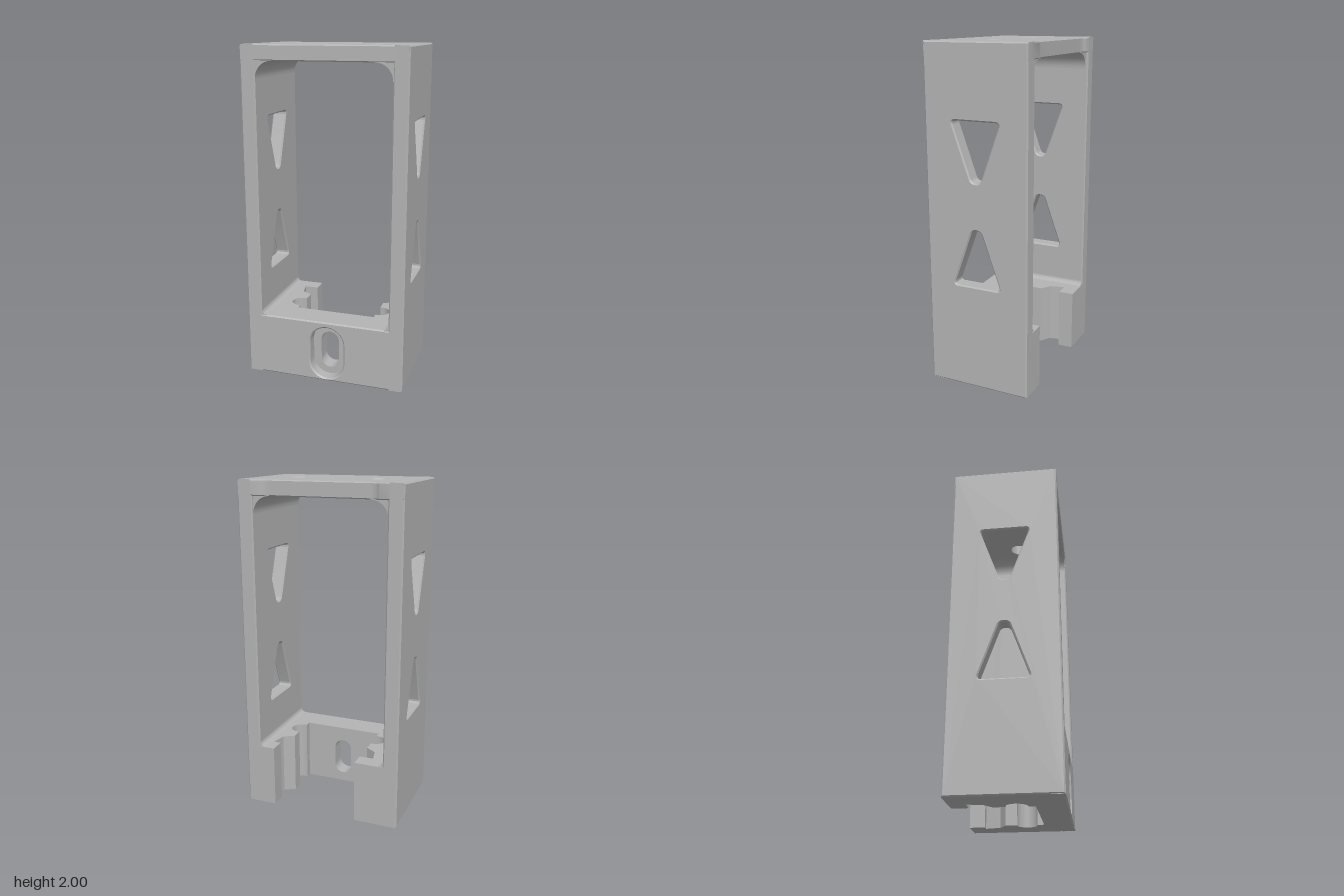
import * as THREE from 'three';
import { toCreasedNormals } from 'three/addons/utils/BufferGeometryUtils.js';

const W = 0.49, D = 0.3125, IN = 0.4;      // half width, half depth, inner half width
const SILL = 0.38, HEAD = 1.91, SLOT_X = 0.02;

// Closed outline with softened corners; cut is the length trimmed at each corner
function softPoly(points, cut) {
  const v = points.map(p => new THREE.Vector2(...p));
  const shape = new THREE.Shape();
  v.forEach((p, i) => {
    const prev = v[(i + v.length - 1) % v.length], next = v[(i + 1) % v.length];
    const a = p.clone().add(prev.clone().sub(p).setLength(cut));
    const b = p.clone().add(next.clone().sub(p).setLength(cut));
    if (i === 0) shape.moveTo(a.x, a.y); else shape.lineTo(a.x, a.y);
    shape.quadraticCurveTo(p.x, p.y, b.x, b.y);
  });
  shape.closePath();
  return shape;
}

function poly(points) {
  return new THREE.Shape(points.map(p => new THREE.Vector2(...p)));
}

function rect(x0, y0, x1, y1) {
  return poly([[x0, y0], [x1, y0], [x1, y1], [x0, y1]]);
}

// Upright slot with round ends
function stadium(cx, cy, r, halfHeight) {
  const s = new THREE.Shape(), k = halfHeight - r;
  s.absarc(cx, cy + k, r, 0, Math.PI);
  s.absarc(cx, cy - k, r, Math.PI, Math.PI * 2);
  s.closePath();
  return s;
}

// Extrusion between two depths with an optional chamfer that stays inside the outline
function slab(shape, from, to, bevel = 0) {
  const geo = new THREE.ExtrudeGeometry(shape, {
    depth: to - from - 2 * bevel, curveSegments: 20, bevelEnabled: bevel > 0,
    bevelThickness: bevel, bevelSize: bevel, bevelOffset: -bevel, bevelSegments: 1,
  });
  geo.translate(0, 0, from + bevel);
  return geo;
}

export function createModel() {
  const group = new THREE.Group();
  const grey = new THREE.MeshStandardMaterial({ color: 0xb4b4b4 });
  grey.name = 'grey plastic';
  const add = (name, geo) => {
    const mesh = new THREE.Mesh(toCreasedNormals(geo, 0.6), grey);
    mesh.name = name;
    group.add(mesh);
  };

  // Side walls with two opposed triangular windows
  for (const s of [1, -1]) {
    const wall = rect(-D, 0, D, 2);
    for (const [base, tip] of [[1.58, 1.24], [0.63, 0.967]]) {
      wall.holes.push(softPoly([[-0.148, base], [0.148, base], [0.027, tip], [-0.027, tip]], 0.026));
    }
    const geo = s > 0 ? slab(wall, IN, W, 0.008) : slab(wall, -W, -IN, 0.008);
    add(s > 0 ? 'leftWall' : 'rightWall', geo.rotateY(Math.PI / 2));
  }

  // Top plate with two screw holes and a shallow recess along the back (shape y is -z)
  const top = new THREE.Shape();
  const e = W - 0.005;
  top.moveTo(-e, -D);
  top.lineTo(e, -D);
  top.lineTo(e, D);
  top.lineTo(0.35, D);
  top.quadraticCurveTo(0.33, 0.297, 0.295, 0.297);
  top.lineTo(-0.295, 0.297);
  top.quadraticCurveTo(-0.33, 0.297, -0.35, D);
  top.lineTo(-e, D);
  for (const x of [-0.246, 0.246]) {
    const hole = new THREE.Path();
    hole.absarc(x, 0, 0.054, 0, Math.PI * 2);
    top.holes.push(hole);
  }
  add('topPlate', slab(top, HEAD, 2, 0.006).rotateX(-Math.PI / 2));

  // Fillets in the corners of the main opening
  const fillet = (name, sx, sy, y, r, back) => {
    const x = sx * IN, o = 0.01;
    const s = new THREE.Shape();
    s.moveTo(x + sx * o, y + sy * o);
    s.lineTo(x - sx * r, y + sy * o);
    for (let i = 0; i <= 12; i++) {
      const a = (i / 12) * Math.PI / 2;
      s.lineTo(x - sx * r * (1 - Math.sin(a)), y - sy * r * (1 - Math.cos(a)));
    }
    s.lineTo(x + sx * o, y - sy * r);
    s.closePath();
    add(name, slab(s, back, D - 0.004));
  };
  for (const sx of [1, -1]) {
    fillet('upperFillet', sx, 1, HEAD, 0.1, -0.297);
    fillet('lowerFillet', sx, -1, SILL, 0.03, -D + 0.004);
  }

  // Lower front wall: wide recess in front, narrow slot behind
  const front = rect(-e, 0, e, SILL);
  front.holes.push(stadium(SLOT_X, 0.18, 0.105, 0.165));
  add('frontPlate', slab(front, 0.23, D, 0.008));
  const inner = rect(-0.47, 0, 0.47, SILL);
  inner.holes.push(stadium(SLOT_X, 0.175, 0.056, 0.117));
  add('slotPlate', slab(inner, 0.14, 0.24));

  // Base blocks either side of the rear channel, with a key groove and a round groove
  for (const s of [1, -1]) {
    const lip = s > 0 ? 0.285 : 0.245;       // distances from the channel centre
    const outline = [[0.47 - s * SLOT_X, -D], [lip, -D], [lip, -0.22], [0.33, -0.22], [0.31, -0.13], [0.247, -0.09], [0.247, -0.02]];
    for (let i = 0; i <= 16; i++) {
      const a = -Math.PI / 2 + (i / 16) * Math.PI;
      outline.push([0.26 + 0.06 * Math.cos(a), 0.04 + 0.06 * Math.sin(a)]);
    }
    outline.push([0.247, 0.1], [0.247, 0.15], [0.47 - s * SLOT_X, 0.15]);
    const shape = poly(outline.map(([d, z]) => [SLOT_X + s * d, -z]));
    add(s > 0 ? 'leftBaseBlock' : 'rightBaseBlock', slab(shape, 0, SILL).rotateX(-Math.PI / 2));
  }
  return group;
}
